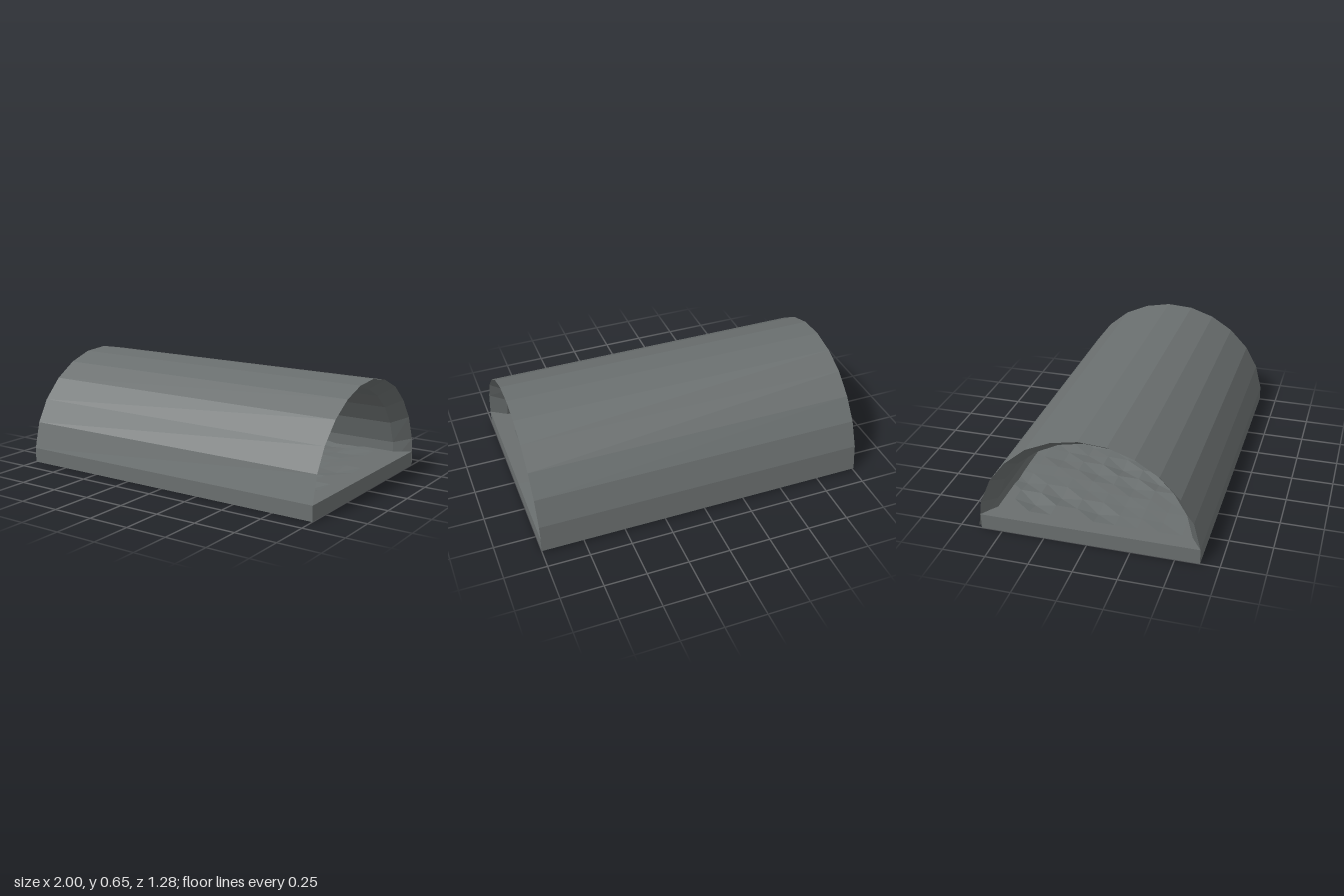
import * as THREE from 'three';

// Arch cross-sections as [z, y], from the front foot over the top to the back foot
const OUTER = [[0.64, 0.09], [0.60, 0.25], [0.525, 0.385], [0.41, 0.505], [0.275, 0.59], [0.125, 0.64],
  [-0.035, 0.65], [-0.19, 0.62], [-0.335, 0.555], [-0.46, 0.45], [-0.555, 0.325], [-0.617, 0.175], [-0.638, 0.015]];
const INNER = [[0.575, 0.09], [0.54, 0.23], [0.465, 0.355], [0.365, 0.46], [0.245, 0.535], [0.105, 0.575],
  [-0.035, 0.585], [-0.18, 0.555], [-0.31, 0.49], [-0.42, 0.40], [-0.505, 0.285], [-0.557, 0.15], [-0.565, 0.015]];

// Vault: outer skin, bevelled ends and inner skin, lofted as one closed band
function vaultGeometry() {
  const rings = [[-1, OUTER], [1, OUTER], [0.9, INNER], [-0.9, INNER]];
  const pos = [];
  const at = ([x, profile], i) => [x, profile[i][1], profile[i][0]];
  const quad = (a, b, c, d) => pos.push(...a, ...b, ...c, ...a, ...c, ...d);
  rings.forEach((ring, r) => {
    const next = rings[(r + 1) % rings.length];
    for (let i = 0; i < OUTER.length - 1; i++) {
      quad(at(ring, i), at(next, i), at(next, i + 1), at(ring, i + 1));
    }
  });
  // Feet
  const last = OUTER.length - 1;
  quad(...rings.map((ring) => at(ring, 0)).reverse());
  quad(...rings.map((ring) => at(ring, last)));
  const geometry = new THREE.BufferGeometry();
  geometry.setAttribute('position', new THREE.Float32BufferAttribute(pos, 3));
  geometry.computeVertexNormals();
  return geometry;
}

// Floor slab: flat rim and a slightly uneven top between the bevels
function floorGeometry() {
  const indexed = new THREE.BoxGeometry(2, 0.09, 1.265, 20, 1, 10);
  indexed.translate(0, 0.045, 0.0075);
  const p = indexed.attributes.position;
  for (let i = 0; i < p.count; i++) {
    const x = p.getX(i), z = p.getZ(i);
    if (p.getY(i) > 0.08 && Math.abs(x) < 0.85 && Math.abs(z) < 0.5) {
      const wave = Math.sin(x * 17 + z * 9) * Math.sin(z * 23 - x * 5);
      p.setY(i, 0.09 - 0.025 * Math.max(0, wave));
    }
  }
  const geometry = indexed.toNonIndexed();
  geometry.computeVertexNormals();
  return geometry;
}

export function createModel() {
  const grey = new THREE.MeshStandardMaterial({ color: 0x6a6f6f, side: THREE.DoubleSide });
  grey.name = 'slate grey';

  const model = new THREE.Group();
  model.name = 'vaultedShelter';
  const add = (name, geometry) => {
    const mesh = new THREE.Mesh(geometry, grey);
    mesh.name = name;
    model.add(mesh);
  };
  add('vault', vaultGeometry());
  add('floor', floorGeometry());
  return model;
}
